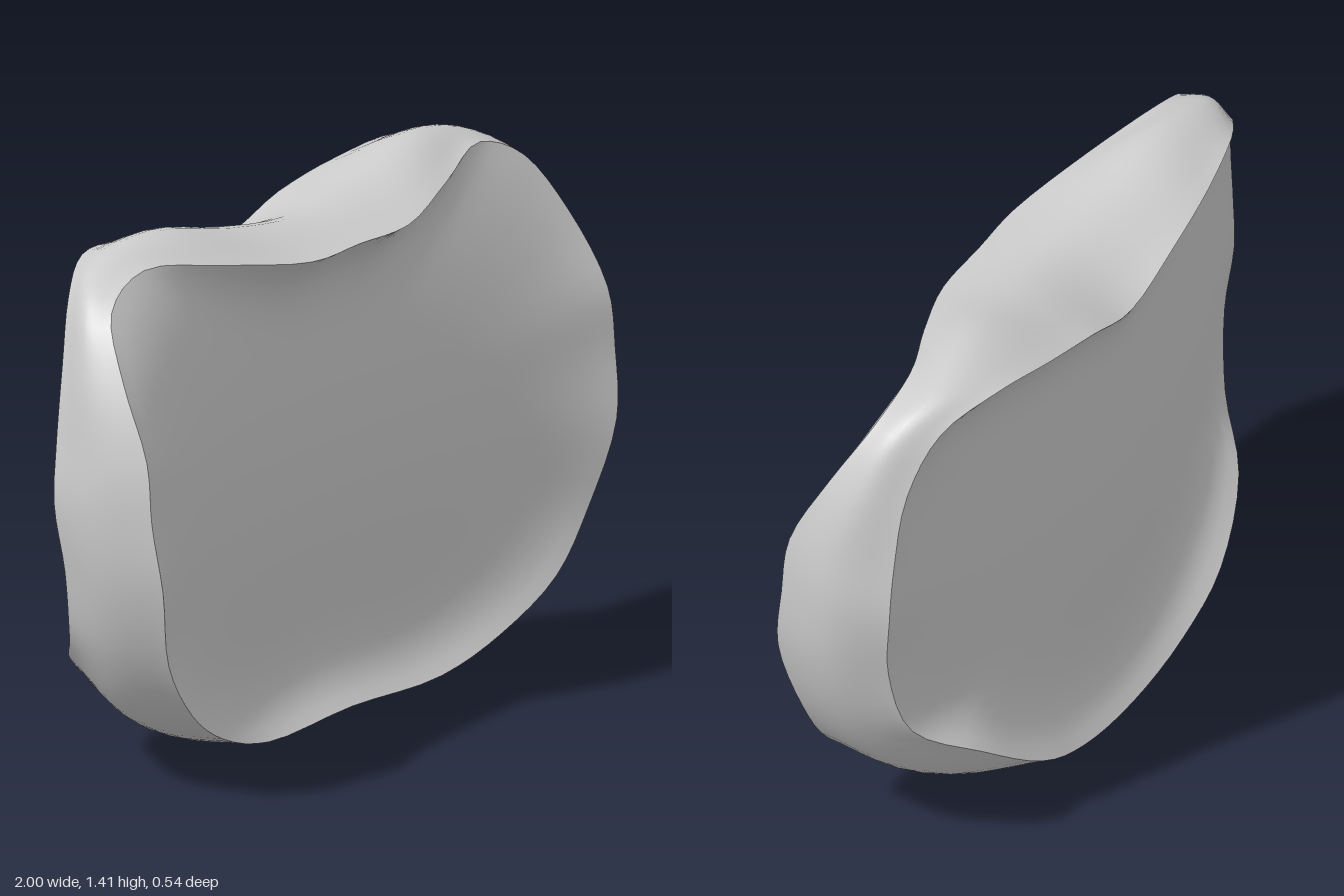
import * as THREE from 'three';
import { mergeVertices } from 'three/addons/utils/BufferGeometryUtils.js';

// Half outline from top centre round to bottom centre:
// front rim x, y, z | widest line of the wall x, y, z | back rim x, y, z
const STATIONS = [
  [0, 1.3, 0.175, 0, 1.335, -0.03, 0, 1.24, -0.26],
  [0.2, 1.3, 0.175, 0.25, 1.36, -0.05, 0.23, 1.3, -0.265],
  [0.46, 1.34, 0.1, 0.52, 1.415, -0.07, 0.45, 1.34, -0.25],
  [0.7, 1.37, 0.02, 0.75, 1.38, -0.09, 0.66, 1.36, -0.21],
  [0.86, 1.3, 0.04, 0.88, 1.3, -0.03, 0.82, 1.3, -0.13],
  [0.93, 1.15, 0.13, 0.95, 1.15, 0.02, 0.91, 1.15, -0.08],
  [0.96, 0.96, 0.23, 0.99, 0.95, 0.08, 0.955, 0.95, -0.065],
  [0.965, 0.8, 0.25, 1, 0.8, 0.09, 0.97, 0.8, -0.06],
  [0.945, 0.62, 0.27, 0.975, 0.6, 0.1, 0.945, 0.62, -0.045],
  [0.875, 0.4, 0.235, 0.905, 0.4, 0.08, 0.88, 0.42, -0.08],
  [0.76, 0.24, 0.22, 0.78, 0.23, 0.01, 0.72, 0.3, -0.2],
  [0.58, 0.125, 0.185, 0.6, 0.115, -0.04, 0.5, 0.16, -0.26],
  [0.36, 0.06, 0.16, 0.35, 0.03, -0.06, 0.28, 0.08, -0.265],
  [0, 0.065, 0.15, 0, 0, -0.07, 0, 0.05, -0.265],
];
const AROUND = 104;

// Closed curve through one column group, mirrored to the other side
function loop(offset) {
  const half = STATIONS.map((s) => new THREE.Vector3(s[offset], s[offset + 1], s[offset + 2]));
  const other = half.slice(1, -1).reverse().map((p) => new THREE.Vector3(-p.x, p.y, p.z));
  const curve = new THREE.CatmullRomCurve3([...half, ...other], true);
  return Array.from({ length: AROUND }, (_, i) => curve.getPoint(i / AROUND));
}

// Skin over a grid of points: AROUND strips, each with the same number of points
function skin(name, strips, material) {
  const rows = strips[0].length;
  const index = [];
  for (let i = 0; i < AROUND; i++) {
    for (let j = 0; j < rows - 1; j++) {
      const a = i * rows + j;
      const b = ((i + 1) % AROUND) * rows + j;
      index.push(a, b + 1, a + 1, a, b, b + 1);
    }
  }
  let geometry = new THREE.BufferGeometry().setFromPoints(strips.flat());
  geometry.setIndex(index);
  geometry = mergeVertices(geometry, 1e-5);
  geometry.computeVertexNormals();
  const mesh = new THREE.Mesh(geometry, material);
  mesh.name = name;
  return mesh;
}

// Face that follows a curved base surface and turns up into a lip near the rim
function face(rim, centreY, base, lipPower, steps = 26) {
  return rim.map((p) => {
    const lip = p.z - base(p.x, p.y);
    return Array.from({ length: steps + 1 }, (_, j) => {
      const t = j / steps;
      const x = p.x * t;
      const y = THREE.MathUtils.lerp(centreY, p.y, t);
      return new THREE.Vector3(x, y, base(x, y) + lip * t ** lipPower);
    });
  });
}

export function createModel() {
  const group = new THREE.Group();
  group.name = 'saddleDisc';
  const material = new THREE.MeshStandardMaterial({ color: 0xcccccc, side: THREE.DoubleSide });

  const front = loop(0);
  const middle = loop(3);
  const back = loop(6);

  // Rounded outer wall between the two rims
  const wall = front.map((p, i) =>
    new THREE.CatmullRomCurve3([p, middle[i], back[i]]).getPoints(12));
  group.add(skin('outerWall', wall, material));

  // Front face: hollow from side to side, crowned from top to bottom
  const frontBase = (x, y) => 0.1 + 0.15 * x * x - 0.2 * (y - 0.65) ** 2;
  group.add(skin('frontFace', face(front, 0.72, frontBase, 7.5), material));

  // Back face: bowed outward from side to side
  const backBase = (x, y) => -0.228 + 0.21 * x * x + 0.1 * (y - 0.8) ** 2;
  const backStrips = face(back, 0.75, backBase, 8).map((s) => s.reverse());
  group.add(skin('backFace', backStrips, material));

  return group;
}
